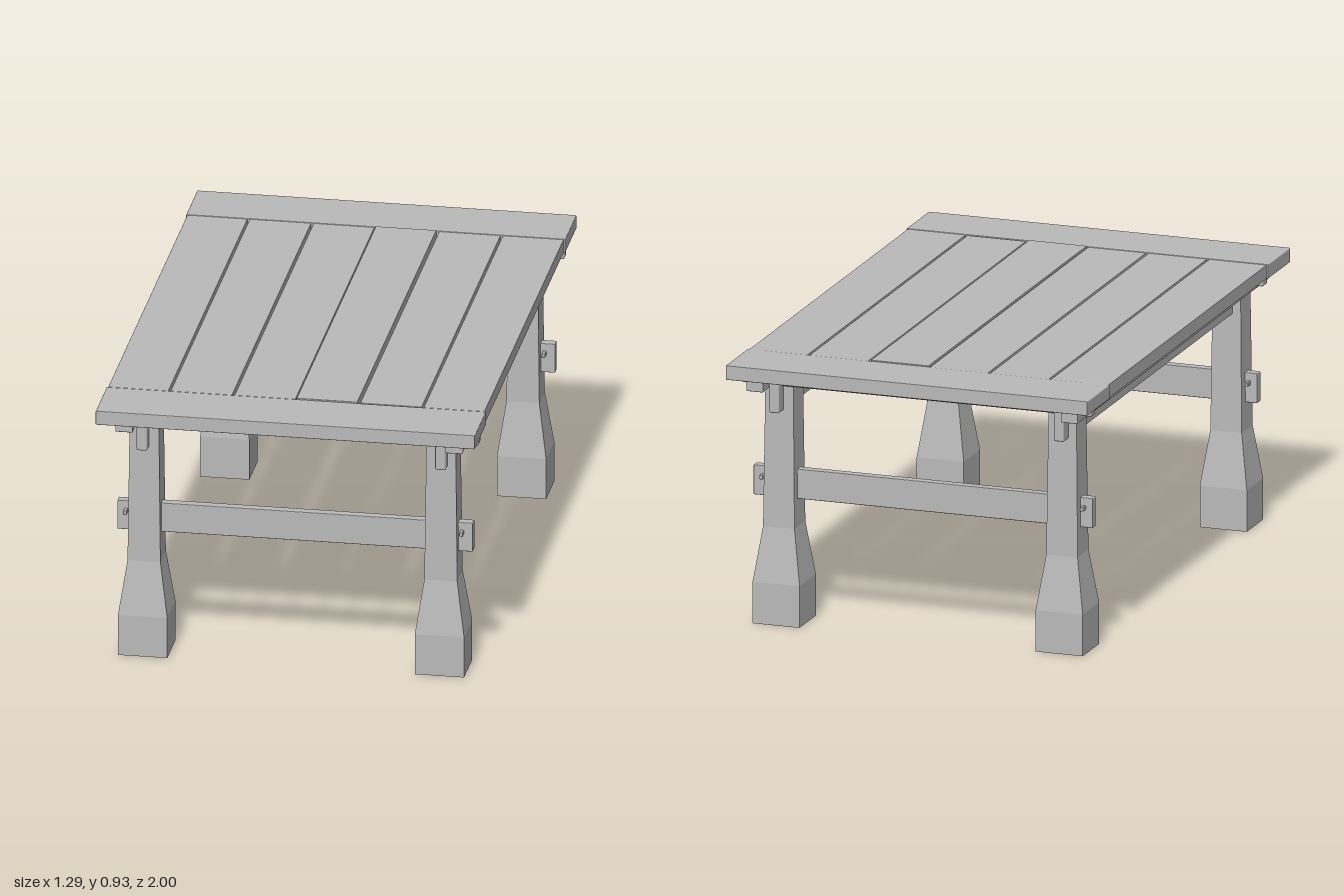
import * as THREE from 'three';
import { RoundedBoxGeometry } from 'three/addons/geometries/RoundedBoxGeometry.js';

export function createModel() {
  const model = new THREE.Group();
  model.name = 'trestleTable';
  const wood = new THREE.MeshStandardMaterial({ color: 0xbababa });
  wood.name = 'plain grey';

  // Timber with slightly eased edges, given by its extents on each axis
  function timber(name, [x0, x1], [y0, y1], [z0, z1], ease = 0.003) {
    const geo = new RoundedBoxGeometry(x1 - x0, y1 - y0, z1 - z0, 1, ease);
    const mesh = new THREE.Mesh(geo, wood);
    mesh.name = name;
    mesh.position.set((x0 + x1) / 2, (y0 + y1) / 2, (z0 + z1) / 2);
    model.add(mesh);
  }

  // Tabletop: lengthwise planks with narrow gaps
  const planks = [
    [-0.643, -0.437], [-0.43, -0.22], [-0.212, -0.004],
    [0, 0.207], [0.216, 0.426], [0.433, 0.641],
  ];
  planks.forEach((span, i) => {
    const top = i === 3 ? 0.928 : 0.924;
    timber('plank', span, [0.876, top], [-0.779, i === 4 ? 0.774 : 0.778], 0.002);
  });

  // Square leg with a flared foot
  const half = [[0, 0], [0.084, 0], [0.084, 0.145], [0.056, 0.335], [0.05, 0.83], [0, 0.83]];
  const profile = half.map(([r, y]) => new THREE.Vector2(r * Math.SQRT2, y));
  const legShape = new THREE.LatheGeometry(profile, 4, Math.PI / 4).toNonIndexed();
  legShape.scale(1, 1, 0.96);
  legShape.computeVertexNormals();

  for (const s of [-1, 1]) {
    const around = (c, w) => [s * c - w / 2, s * c + w / 2];

    // Board across each end of the top
    timber('endBoard', [-0.647, 0.646], [0.875, 0.925], around(0.89, 0.22));

    // Bearers running across and along beneath the top
    timber('crossBearer', [-0.613, 0.635], [0.832, 0.875], around(0.845, 0.046), 0.006);
    timber('sideBearer', around(0.562, 0.06), [0.826, 0.875], [-0.945, 0.932], 0.004);
    timber('longRail', around(0.509, 0.037), [0.745, 0.875], [-0.902, 0.888], 0.006);

    // Stretcher passing through the legs
    timber('stretcher', [-0.603, 0.609], [0.432, 0.536], around(0.81, 0.034));

    for (const t of [-1, 1]) {
      const leg = new THREE.Mesh(legShape, wood);
      leg.name = 'leg';
      leg.position.set(t * 0.506, 0, s * 0.807);
      model.add(leg);

      // Peg locking the stretcher outside the leg
      timber('peg', [t * 0.573 - 0.006, t * 0.573 + 0.006], [0.494, 0.509], around(0.81, 0.084), 0.002);
    }
  }
  return model;
}
